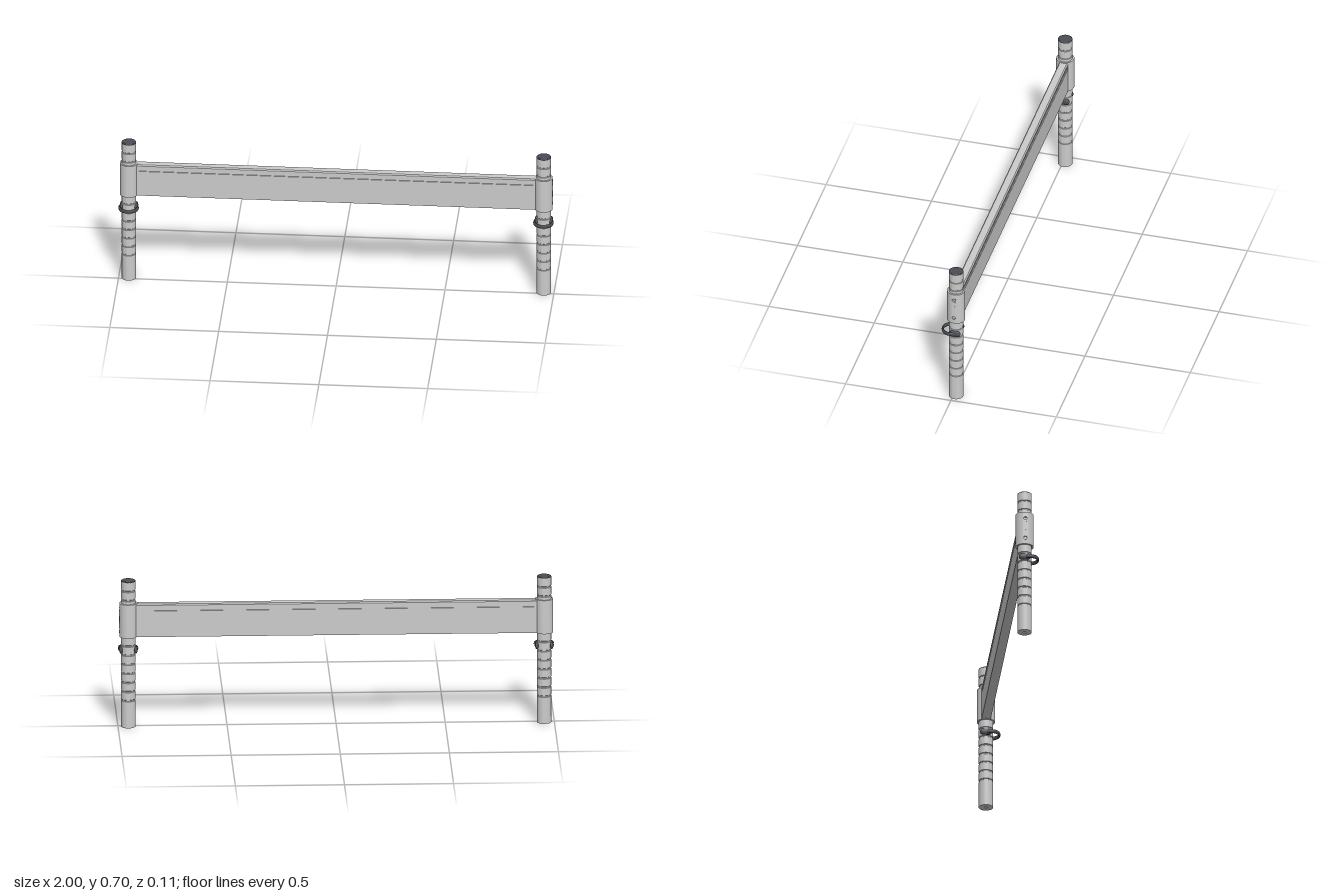
import * as THREE from 'three';
import { toCreasedNormals } from 'three/addons/utils/BufferGeometryUtils.js';

const grey = new THREE.MeshStandardMaterial({ color: 0xcccccc });
const greyThin = new THREE.MeshStandardMaterial({ color: 0xcccccc, side: THREE.DoubleSide });
const dark = new THREE.MeshStandardMaterial({ color: 0x4a4d55 });

const POST_X = 0.953, POST_Z = -0.012, POST_R = 0.033;
const SLEEVE_R = 0.0415, SLEEVE_LOW = 0.43, SLEEVE_TOP = 0.59;

function add(parent, name, geometry, material = grey) {
  const mesh = new THREE.Mesh(geometry, material);
  mesh.name = name;
  parent.add(mesh);
  return mesh;
}

function lathe(points, segments = 40, start = 0, sweep = Math.PI * 2) {
  const profile = points.map(([x, y]) => new THREE.Vector2(x, y));
  return toCreasedNormals(new THREE.LatheGeometry(profile, segments, start, sweep), 0.5);
}

// Round post with evenly spaced grooves and a small hole in its foot
function postGeometry() {
  const points = [[0, 0.02], [0.007, 0.02], [0.007, 0], [POST_R, 0]];
  for (let i = 0; i < 13; i++) {
    const y = 0.13 + i * 0.0434;
    points.push([POST_R, y - 0.004], [POST_R - 0.0025, y - 0.002],
      [POST_R - 0.0025, y + 0.002], [POST_R, y + 0.004]);
  }
  points.push([POST_R, 0.694], [0, 0.694]);
  return lathe(points);
}

// Collar around the post, with a drilled strip on its outer side
function makeSleeve() {
  const sleeve = new THREE.Group();
  sleeve.name = 'sleeve';
  const half = 0.28, inner = POST_R + 0.0005;
  add(sleeve, 'sleeveShell', lathe([
    [inner, SLEEVE_LOW], [SLEEVE_R, SLEEVE_LOW], [SLEEVE_R, SLEEVE_TOP],
    [inner, SLEEVE_TOP], [inner, SLEEVE_LOW],
  ], 40, Math.PI / 2 + half, Math.PI * 2 - 2 * half), greyThin);

  const w = SLEEVE_R * Math.sin(half);
  const strip = new THREE.Shape();
  strip.moveTo(-w, SLEEVE_LOW).lineTo(w, SLEEVE_LOW).lineTo(w, SLEEVE_TOP).lineTo(-w, SLEEVE_TOP);
  for (const y of [0.461, 0.559]) {
    strip.holes.push(new THREE.Path().absarc(0, y, 0.008, 0, Math.PI * 2, true));
  }
  const depth = SLEEVE_R - inner;
  const geometry = new THREE.ExtrudeGeometry(strip, { depth, bevelEnabled: false, curveSegments: 16 });
  const p = geometry.attributes.position;
  // Bend the strip to the curve of the collar
  for (let i = 0; i < p.count; i++) {
    const x = p.getX(i);
    p.setZ(i, p.getZ(i) - depth + Math.sqrt(SLEEVE_R ** 2 - x * x));
  }
  geometry.rotateY(Math.PI / 2);
  add(sleeve, 'drilledStrip', toCreasedNormals(geometry, 0.6), greyThin);
  return sleeve;
}

// Half-round locking ring held by a rounded lug on each side of the post
function makeLockRing() {
  const lock = new THREE.Group();
  lock.name = 'lockRing';
  lock.position.y = 0.368;
  const arc = new THREE.TorusGeometry(0.042, 0.005, 12, 40, Math.PI * 1.25);
  arc.rotateZ(-Math.PI * 0.125);
  arc.scale(1, 1, 1.9);
  arc.rotateX(Math.PI / 2);
  add(lock, 'ring', arc, dark).position.z = 0.02;
  for (const side of [-1, 1]) {
    const lug = new THREE.CapsuleGeometry(0.016, 0.022, 6, 16);
    lug.rotateX(Math.PI / 2);
    lug.scale(0.5, 1, 1);
    add(lock, 'lug', lug, dark).position.set(side * 0.034, 0, -0.003);
  }
  const pin = new THREE.CylinderGeometry(0.008, 0.008, 0.07, 16);
  pin.rotateZ(Math.PI / 2);
  add(lock, 'pin', pin, dark);
  return lock;
}

// Complete upright, with the drilled side facing +x
function makeUpright() {
  const upright = new THREE.Group();
  upright.name = 'upright';
  add(upright, 'post', postGeometry());
  add(upright, 'cap', lathe([[0, 0.692], [POST_R, 0.692], [POST_R, 0.696], [0.029, 0.699], [0, 0.7]]), dark);
  upright.add(makeSleeve(), makeLockRing());
  return upright;
}

// Rail section with a shallow slot near the top of each face
function makeRail() {
  const rail = new THREE.Group();
  rail.name = 'rail';
  const h = 0.021, d = 0.017, low = 0.432, top = 0.588;
  const side = [[h, low], [h, 0.556], [d, 0.556], [d, 0.574], [h, 0.574], [h, top - 0.005], [h - 0.005, top]];
  const outline = [...side, ...side.map(([x, y]) => [-x, y]).reverse()];
  const shape = new THREE.Shape(outline.map(([x, y]) => new THREE.Vector2(x, y)));
  const length = 1.85;
  const body = new THREE.ExtrudeGeometry(shape, { depth: length, bevelEnabled: false });
  body.translate(0, 0, -length / 2);
  body.rotateY(Math.PI / 2);
  add(rail, 'railBody', body);
  // Blocks closing the slots at both ends
  for (const end of [-1, 1]) {
    add(rail, 'slotEnd', new THREE.BoxGeometry(0.02, 0.018, 2 * h)).position.set(end * 0.915, 0.565, 0);
  }
  rail.position.z = POST_Z - 0.002;
  return rail;
}

export function createModel() {
  const model = new THREE.Group();
  model.name = 'crossRail';
  model.add(makeRail());
  for (const side of [-1, 1]) {
    const upright = makeUpright();
    upright.position.set(side * POST_X, 0, POST_Z);
    // Turn the collar so its holes face outwards
    if (side < 0) upright.getObjectByName('sleeve').rotation.y = Math.PI;
    model.add(upright);
  }
  return model;
}
